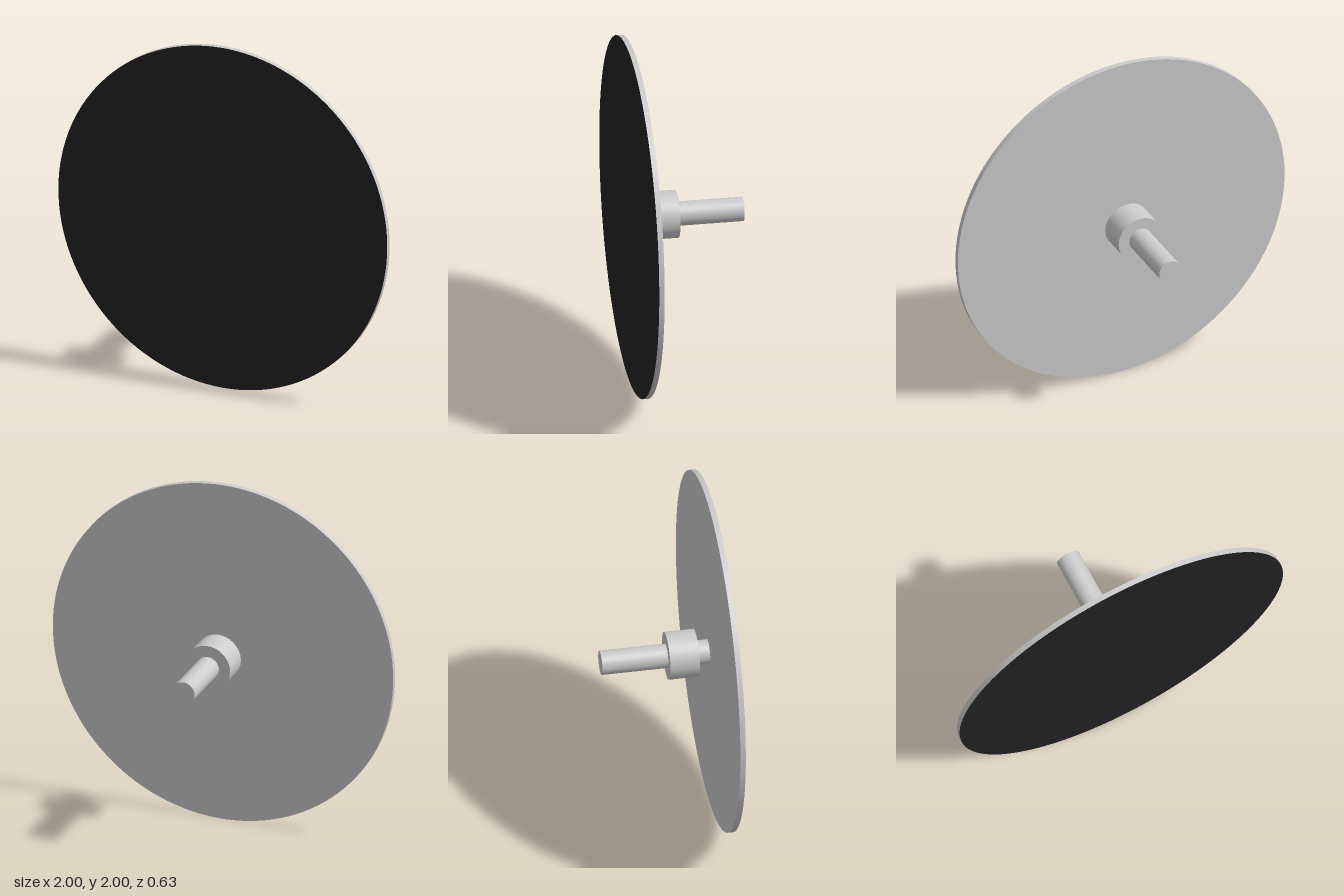
import * as THREE from 'three';

const grey = new THREE.MeshStandardMaterial({ color: 0xcccccc });
const dark = new THREE.MeshStandardMaterial({ color: 0x222222 });

// Cylinder along z, from the back z0 to the front z1, centred at y = 1
function rod(name, radius, z0, z1, segments, material) {
  const geometry = new THREE.CylinderGeometry(radius, radius, z1 - z0, segments);
  geometry.rotateX(Math.PI / 2);
  const mesh = new THREE.Mesh(geometry, material);
  mesh.name = name;
  mesh.position.set(0, 1, (z0 + z1) / 2);
  return mesh;
}

export function createModel() {
  const model = new THREE.Group();
  model.name = 'discOnShaft';

  // Thin disc: grey rim and back, dark front face
  model.add(rod('disc', 1, 0.285, 0.315, 128, [grey, dark, grey]));

  // Shaft from the back of the disc, with a collar around it
  model.add(rod('shaft', 0.067, -0.315, 0.285, 48, grey));
  model.add(rod('collar', 0.132, 0.052, 0.216, 64, grey));

  return model;
}
